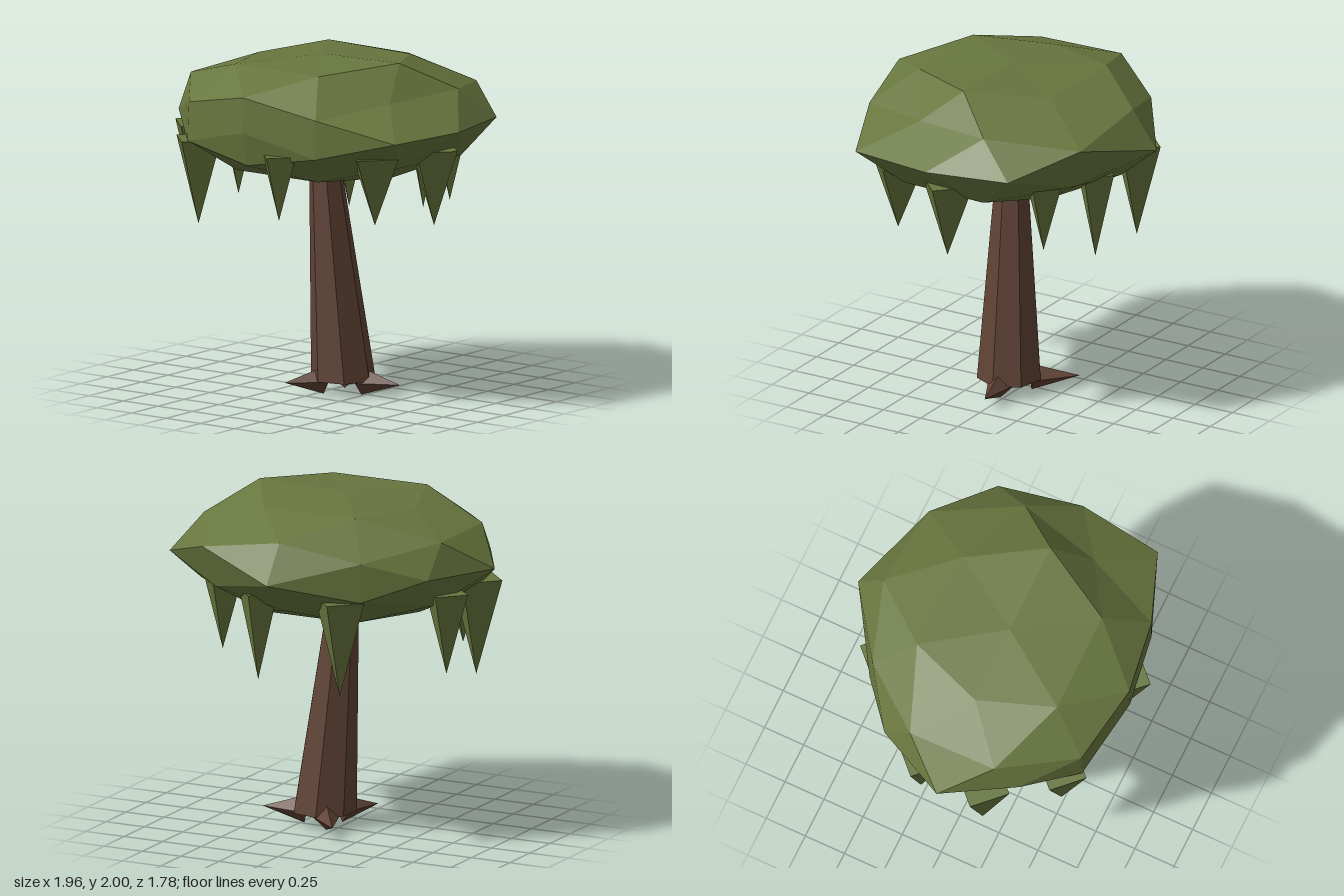
import * as THREE from 'three';

const leafMat = new THREE.MeshStandardMaterial({ color: 0x68763e });
leafMat.name = 'olive leaves';
const barkMat = new THREE.MeshStandardMaterial({ color: 0x604335 });
barkMat.name = 'brown bark';

// Splits shared corners so every face gets its own flat normal
function flat(geometry) {
  const g = geometry.index ? geometry.toNonIndexed() : geometry;
  g.computeVertexNormals();
  return g;
}

function addMesh(parent, name, geometry, material) {
  const mesh = new THREE.Mesh(flat(geometry), material);
  mesh.name = name;
  parent.add(mesh);
  return mesh;
}

// Crown radius for each family of sphere directions; the eight values follow
// the signs of x, y, z: +++ ++- +-+ +-- -++ -+- --+ ---
const CROWN = [
  { dir: [1, 0, 0], r: [0.98, 0, 0, 0, 0.98, 0, 0, 0] },
  { dir: [0, 1, 0], r: [0.863, 0, 0.913, 0, 0, 0, 0, 0] },
  { dir: [0, 0, 1], r: [0.846, 1.066, 0, 0, 0, 0, 0, 0] },
  { dir: [0.526, 0.851, 0], r: [1.046, 0, 0.95, 0, 0.88, 0, 0.93, 0] },
  { dir: [0, 0.526, 0.851], r: [0.988, 1.045, 0.94, 0.95, 0, 0, 0, 0] },
  { dir: [0.851, 0, 0.526], r: [1.07, 1.034, 0, 0, 0.865, 0.905, 0, 0] },
  { dir: [0.309, 0.809, 0.5], r: [0.98, 0.96, 0.95, 0.95, 0.985, 0.985, 0.95, 0.95] },
  { dir: [0.809, 0.5, 0.309], r: [0.81, 0.955, 0.95, 0.98, 0.94, 0.955, 0.92, 0.92] },
  { dir: [0.5, 0.309, 0.809], r: [0.93, 1.045, 0.93, 0.95, 0.92, 0.9, 0.93, 0.92] },
];

function crownRadius(x, y, z) {
  const sign = (x < -0.01 ? 4 : 0) + (y < -0.01 ? 2 : 0) + (z < -0.01 ? 1 : 0);
  const family = CROWN.find(({ dir }) =>
    Math.hypot(Math.abs(x) - dir[0], Math.abs(y) - dir[1], Math.abs(z) - dir[2]) < 0.05);
  return family.r[sign];
}

// Flattened, uneven faceted ball
function crownGeometry() {
  const g = new THREE.IcosahedronGeometry(1, 1);
  const p = g.attributes.position;
  for (let i = 0; i < p.count; i++) {
    const x = p.getX(i), y = p.getY(i), z = p.getZ(i);
    const r = crownRadius(x, y, z);
    p.setXYZ(i, x * r, 1.645 + y * r * 0.4, 0.08 + z * r * 0.91);
  }
  return g;
}

// Seven-sided tapered trunk whose rings shift sideways as they rise
function trunkGeometry() {
  const bottom = 0.085, top = 1.42;
  const g = new THREE.CylinderGeometry(0.088, 0.19, top - bottom, 7, 1, false, Math.PI / 2);
  g.translate(0, (top + bottom) / 2, 0);
  const p = g.attributes.position;
  for (let i = 0; i < p.count; i++) {
    const t = (p.getY(i) - bottom) / (top - bottom);
    p.setX(i, p.getX(i) + THREE.MathUtils.lerp(0.11, 0.004, t));
    p.setZ(i, p.getZ(i) + THREE.MathUtils.lerp(0.035, 0.08, t));
  }
  return g;
}

export function createModel() {
  const tree = new THREE.Group();
  tree.name = 'tree';

  addMesh(tree, 'crown', crownGeometry(), leafMat);
  addMesh(tree, 'trunk', trunkGeometry(), barkMat);

  // Root spikes lying on the ground: base x, z and tip x, z
  const roots = [
    [0.23, 0.02, 0.48, -0.02],
    [0.04, 0.13, -0.09, 0.33],
    [0.04, -0.07, -0.12, -0.3],
  ];
  for (const [bx, bz, tx, tz] of roots) {
    const length = Math.hypot(tx - bx, tz - bz);
    const g = new THREE.ConeGeometry(0.08, length, 4);
    g.rotateX(Math.PI / 2); // tip along +z, corners up and sideways
    g.translate(0, 0, length / 2);
    const root = addMesh(tree, 'root', g, barkMat);
    root.position.set(bx, 0.08, bz);
    root.rotation.y = Math.atan2(tx - bx, tz - bz);
  }

  // Hanging leaf clumps: x, z, tip height, radius
  const clumps = [
    [0.78, 0.05, 1.07, 0.17],
    [0.66, 0.455, 1.12, 0.17],
    [0.2, 0.765, 1.14, 0.12],
    [-0.48, 0.64, 1.02, 0.16],
    [-0.76, 0.27, 0.95, 0.17],
    [-0.77, -0.12, 1.04, 0.14],
    [-0.31, -0.57, 0.95, 0.16],
    [0.205, -0.6, 1.0, 0.125],
    [0.52, -0.44, 1.11, 0.12],
  ];
  for (const [x, z, tip, radius] of clumps) {
    const height = 1.525 - tip;
    const g = new THREE.ConeGeometry(radius, height, 4);
    g.rotateX(Math.PI);
    const clump = addMesh(tree, 'hangingLeaves', g, leafMat);
    clump.position.set(x, tip + height / 2, z);
  }

  return tree;
}
